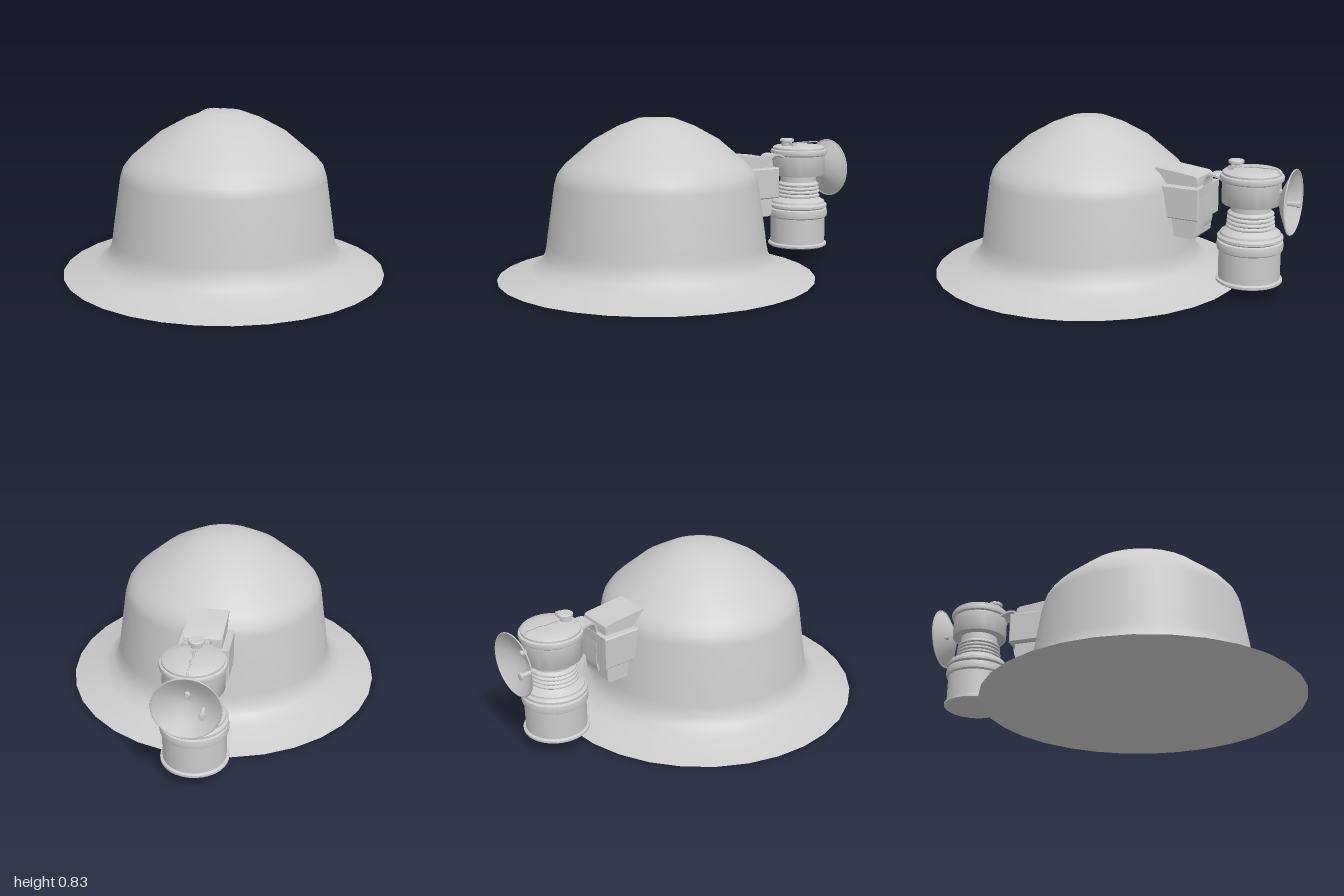
import * as THREE from 'three';
import { toCreasedNormals } from 'three/addons/utils/BufferGeometryUtils.js';

const grey = new THREE.MeshStandardMaterial({ color: 0xcccccc });
const greyDouble = new THREE.MeshStandardMaterial({ color: 0xcccccc, side: THREE.DoubleSide });

function add(parent, name, geometry, material = grey) {
  const mesh = new THREE.Mesh(geometry, material);
  mesh.name = name;
  parent.add(mesh);
  return mesh;
}

// Turned part from [radius, height] pairs, listed bottom to top
function turned(profile, sides = 32, crease = 0.6) {
  const g = new THREE.LatheGeometry(profile.map(([r, y]) => new THREE.Vector2(r, y)), sides);
  return crease ? toCreasedNormals(g, crease) : g;
}

// Side outline in [distance to the back, height], extruded across x
function sideExtrude(outline, width, bevel = 0) {
  const shape = new THREE.Shape(outline.map(([b, y]) => new THREE.Vector2(b, y)));
  const g = new THREE.ExtrudeGeometry(shape, {
    depth: width - 2 * bevel, bevelEnabled: bevel > 0,
    bevelSize: bevel, bevelOffset: -bevel, bevelThickness: bevel, bevelSegments: 1,
  });
  g.translate(0, 0, -(width - 2 * bevel) / 2);
  g.rotateY(Math.PI / 2);
  return toCreasedNormals(g, 0.5);
}

function createHat() {
  const hat = new THREE.Group();
  hat.name = 'hat';
  hat.position.z = 0.165;
  add(hat, 'crownAndBrim', turned([
    [0.835, 0], [0.665, 0.049], [0.612, 0.088], [0.586, 0.13], [0.576, 0.18], [0.57, 0.23],
    [0.53, 0.5], [0.514, 0.548], [0.48, 0.59], [0.445, 0.62], [0.33, 0.718], [0.2, 0.79],
    [0.095, 0.83], [0, 0.83],
  ], 32, 0));
  // Hollowed underside
  add(hat, 'underside', turned([[0, 0.1], [0.835, 0]], 32, 0));
  return hat;
}

function createBracket() {
  const bracket = new THREE.Group();
  bracket.name = 'lampBracket';
  add(bracket, 'bracketBlock', sideExtrude([
    [0.3, 0.27], [0.495, 0.27], [0.51, 0.285], [0.515, 0.56], [0.51, 0.585], [0.495, 0.595], [0.28, 0.62],
  ], 0.19));
  add(bracket, 'bracketBand', sideExtrude([
    [0.335, 0.373], [0.537, 0.373], [0.537, 0.541], [0.335, 0.541],
  ], 0.26, 0.006));

  // Bent strip hooking the lamp onto the bracket
  const path = new THREE.CatmullRomCurve3([
    [0.522, 0.33], [0.529, 0.36], [0.529, 0.46], [0.526, 0.56], [0.54, 0.598], [0.57, 0.606], [0.6, 0.602], [0.635, 0.585],
  ].map(([b, y]) => new THREE.Vector3(b, y, 0)));
  const line = path.getPoints(28);
  const outer = line.map((p, i) => {
    const t = path.getTangent(i / 28);
    return [p.x + t.y * 0.01, p.y - t.x * 0.01];
  });
  add(bracket, 'hookStrip', sideExtrude([...outer, ...line.map(p => [p.x, p.y]).reverse()], 0.1))
    .position.x = 0.005;
  return bracket;
}

function createReflector() {
  const reflector = new THREE.Group();
  reflector.name = 'reflector';
  reflector.position.set(0, 0.502, -0.9);
  reflector.rotation.y = 0.05;
  const axis = new THREE.Group();
  axis.rotation.x = -Math.PI / 2;
  reflector.add(axis);
  add(axis, 'dish', turned([
    [0, 0.015], [0.04, 0.02], [0.08, 0.035], [0.12, 0.056], [0.16, 0.08],
  ], 32, 0), greyDouble);
  add(axis, 'dishRim', new THREE.TorusGeometry(0.16, 0.004, 6, 32).rotateX(Math.PI / 2)).position.y = 0.08;
  add(axis, 'burner', turned([[0.014, 0], [0.014, 0.025], [0.009, 0.033], [0, 0.033]], 12)).position.set(0, 0.008, 0.045);
  add(axis, 'striker', turned([[0.012, 0], [0.012, 0.065], [0.017, 0.065], [0.017, 0.08], [0, 0.083]], 12))
    .position.set(-0.072, 0.016, -0.028);
  return reflector;
}

function createLamp() {
  const lamp = new THREE.Group();
  lamp.name = 'lamp';
  const body = new THREE.Group();
  body.name = 'lampBody';
  body.position.z = -0.765;
  lamp.add(body);

  add(body, 'fuelChamber', turned([
    [0, 0.068], [0.157, 0.068], [0.167, 0.075], [0.167, 0.086], [0.155, 0.092], [0.155, 0.235],
    [0.165, 0.242], [0.168, 0.262], [0.164, 0.282], [0.152, 0.287], [0.165, 0.295], [0.165, 0.308],
    [0.152, 0.318], [0.15, 0.328], [0.127, 0.342], [0.114, 0.352],
  ]));
  // Ribbed neck
  const ribs = [[0.112, 0.348]];
  for (let i = 0; i < 4; i++) {
    const y = 0.35 + i * 0.021, r = 0.122 - i * 0.002;
    ribs.push([r - 0.009, y], [r, y + 0.006], [r, y + 0.013], [r - 0.009, y + 0.019]);
  }
  ribs.push([0.1, 0.438], [0.1, 0.48]);
  add(body, 'ribbedNeck', turned(ribs));
  add(body, 'waterChamber', turned([
    [0.095, 0.475], [0.144, 0.475], [0.147, 0.48], [0.147, 0.587], [0.157, 0.593], [0.16, 0.605],
    [0.157, 0.618], [0.147, 0.622], [0.147, 0.632], [0.137, 0.64], [0.08, 0.647], [0, 0.65],
  ]));

  // Filler cap with a side tab
  const cap = new THREE.Group();
  cap.name = 'fillerCap';
  cap.position.set(0, 0.635, 0.085);
  body.add(cap);
  add(cap, 'capKnob', turned([
    [0.029, 0], [0.029, 0.03], [0.039, 0.033], [0.039, 0.045], [0.034, 0.049], [0, 0.05],
  ], 20));
  add(cap, 'capTab', new THREE.BoxGeometry(0.04, 0.012, 0.012)).position.set(0.05, 0.02, 0);
  add(cap, 'capTabEnd', new THREE.BoxGeometry(0.01, 0.02, 0.028)).position.set(0.066, 0.02, 0);

  // Control lever across the lid
  const wire = new THREE.CatmullRomCurve3([
    [0, 0.645, 0.03], [0, 0.655, 0.015], [-0.004, 0.656, -0.03], [0.004, 0.657, -0.06],
    [-0.004, 0.657, -0.095], [0, 0.654, -0.13], [0, 0.635, -0.148],
  ].map(p => new THREE.Vector3(...p)));
  add(body, 'leverWire', new THREE.TubeGeometry(wire, 32, 0.004, 6));
  add(body, 'leverEye', new THREE.TorusGeometry(0.01, 0.004, 6, 14).rotateX(Math.PI / 2)).position.set(0, 0.651, 0.03);

  lamp.add(createReflector());
  return lamp;
}

export function createModel() {
  const model = new THREE.Group();
  model.name = 'hatWithLamp';
  model.add(createHat(), createBracket(), createLamp());
  return model;
}
